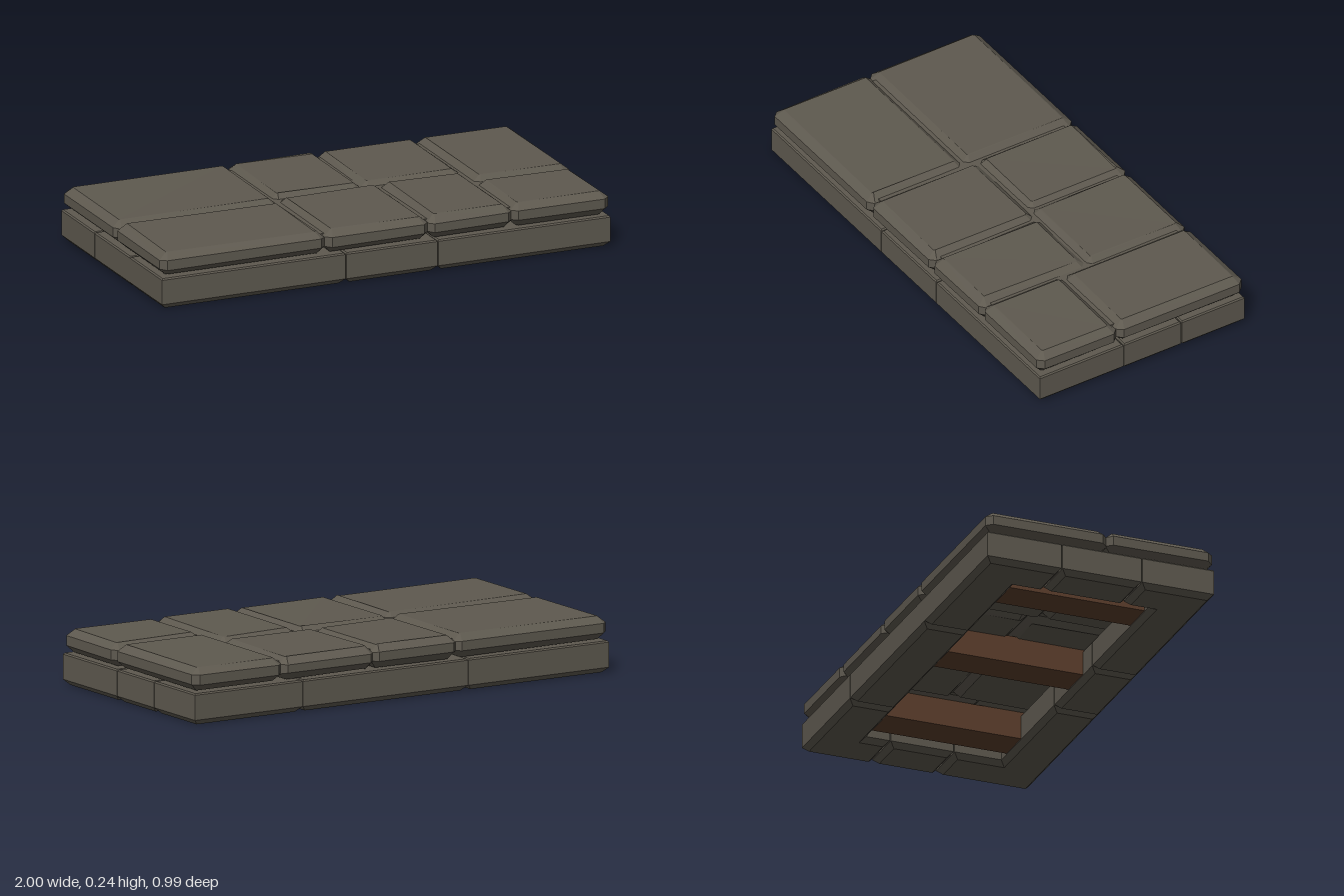
import * as THREE from 'three';

const stone = new THREE.MeshStandardMaterial({ color: 0x5e594f });
stone.name = 'stone';
const wood = new THREE.MeshStandardMaterial({ color: 0x5c3e2c });
wood.name = 'wood';

// Seeded generator for the slight unevenness of the slabs
let seed = 7;
const wobble = (amount) => {
  seed = (seed * 16807) % 2147483647;
  return (seed / 2147483647 - 0.5) * 2 * amount;
};

// Move every edge of a plan outline [x, z] inwards by d
function inset(outline, d) {
  const n = outline.length;
  const normal = (a, b) => new THREE.Vector2(a[1] - b[1], b[0] - a[0]).normalize();
  return outline.map((p, i) => {
    const n1 = normal(outline[(i + n - 1) % n], p);
    const n2 = normal(p, outline[(i + 1) % n]);
    const k = d / (1 + n1.dot(n2));
    return [p[0] + (n1.x + n2.x) * k, p[1] + (n1.y + n2.y) * k];
  });
}

// Closed, faceted block: the outline stacked in layers of [inset, height]
function block(outline, layers, uneven = 0) {
  const toV2 = (pts) => pts.map((p) => new THREE.Vector2(p[0], p[1]));
  if (THREE.ShapeUtils.area(toV2(outline)) < 0) outline = outline.slice().reverse();
  const n = outline.length;
  const positions = [];
  const index = [];
  for (const [d, y] of layers) {
    for (const [x, z] of inset(outline, d)) positions.push(x, y + wobble(uneven), z);
  }
  for (let l = 0; l < layers.length - 1; l++) {
    for (let i = 0; i < n; i++) {
      const a = l * n + i, b = l * n + (i + 1) % n;
      index.push(a, a + n, b + n, a, b + n, b);
    }
  }
  const top = (layers.length - 1) * n;
  const caps = [[0, false], [top, true]];
  for (const [start, flip] of caps) {
    const pts = toV2(inset(outline, layers[start / n][0]));
    for (const [a, b, c] of THREE.ShapeUtils.triangulateShape(pts, [])) {
      if (flip) index.push(start + a, start + c, start + b);
      else index.push(start + a, start + b, start + c);
    }
  }
  const indexed = new THREE.BufferGeometry();
  indexed.setAttribute('position', new THREE.Float32BufferAttribute(positions, 3));
  indexed.setIndex(index);
  const geometry = indexed.toNonIndexed();
  geometry.computeVertexNormals();
  return geometry;
}

const rect = (x0, x1, z0, z1) => [[x0, z0], [x1, z0], [x1, z1], [x0, z1]];

// Rectangle with its four corners cut off
const cutRect = (x0, x1, z0, z1, c) => [
  [x0 + c, z0], [x1 - c, z0], [x1, z0 + c], [x1, z1 - c],
  [x1 - c, z1], [x0 + c, z1], [x0, z1 - c], [x0, z0 + c],
];

export function createModel() {
  const model = new THREE.Group();
  const add = (parent, name, geometry, material) => {
    const mesh = new THREE.Mesh(geometry, material);
    mesh.name = name;
    parent.add(mesh);
    return mesh;
  };
  const group = (name) => {
    const g = new THREE.Group();
    g.name = name;
    model.add(g);
    return g;
  };

  // Hollow base ring: four L-shaped corner stones and a stone between each pair
  const base = group('baseRing');
  const HX = 1, HZ = 0.497, T = 0.2, GAP = 0.002;
  const baseLayers = [[0.022, 0], [0, 0.022], [0, 0.126], [0.005, 0.132]];
  const joints = { front: [-0.18, 0.23], back: [-0.32, 0.48], right: [-0.17, 0.18], left: [-0.19, 0.09] };

  for (const sx of [-1, 1]) {
    for (const sz of [-1, 1]) {
      const xj = joints[sz > 0 ? 'front' : 'back'][sx > 0 ? 1 : 0] + sx * GAP;
      const zj = joints[sx > 0 ? 'left' : 'right'][sz > 0 ? 1 : 0] + sz * GAP;
      const x = sx * HX, z = sz * HZ, xi = sx * (HX - T), zi = sz * (HZ - T);
      add(base, 'cornerStone', block([[x, z], [xj, z], [xj, zi], [xi, zi], [xi, zj], [x, zj]], baseLayers), stone);
    }
  }
  const middles = {
    front: rect(joints.front[0] + GAP, joints.front[1] - GAP, HZ - T, HZ),
    back: rect(joints.back[0] + GAP, joints.back[1] - GAP, -HZ, T - HZ),
    right: rect(-HX, T - HX, joints.right[0] + GAP, joints.right[1] - GAP),
    left: rect(HX - T, HX, joints.left[0] + GAP, joints.left[1] - GAP),
  };
  for (const [side, outline] of Object.entries(middles)) {
    add(base, side + 'MiddleStone', block(outline, baseLayers), stone);
  }

  // Paving slabs: x range, z range
  const paving = group('paving');
  const slabs = [
    [-1, -0.265, -HZ, 0.035], [-0.275, 0.135, -HZ, -0.015],
    [0.125, 0.575, -HZ, -0.015], [0.57, 1, -HZ, 0.113],
    [-1, -0.265, 0.03, HZ], [-0.265, 0.195, -0.018, HZ],
    [0.192, 0.57, -0.022, HZ], [0.565, 1, 0.112, HZ],
  ];
  const slabLayers = [[0.03, 0.137], [0, 0.166], [0, 0.205], [0.034, 0.233]];
  for (const s of slabs) {
    add(paving, 'slab', block(cutRect(...s, 0.025), slabLayers, 0.003), stone);
  }

  // Mortar filling the joints between the slabs
  const mortar = add(paving, 'mortar', new THREE.BoxGeometry(1.9, 0.05, 0.9), stone);
  mortar.position.y = 0.188;

  // Wooden beams across the hollow underside
  const beams = group('supportBeams');
  for (const x of [-0.665, 0, 0.665]) {
    const beam = add(beams, 'beam', new THREE.BoxGeometry(0.155, 0.118, 0.66), wood);
    beam.position.set(x, 0.084, 0);
  }
  return model;
}
